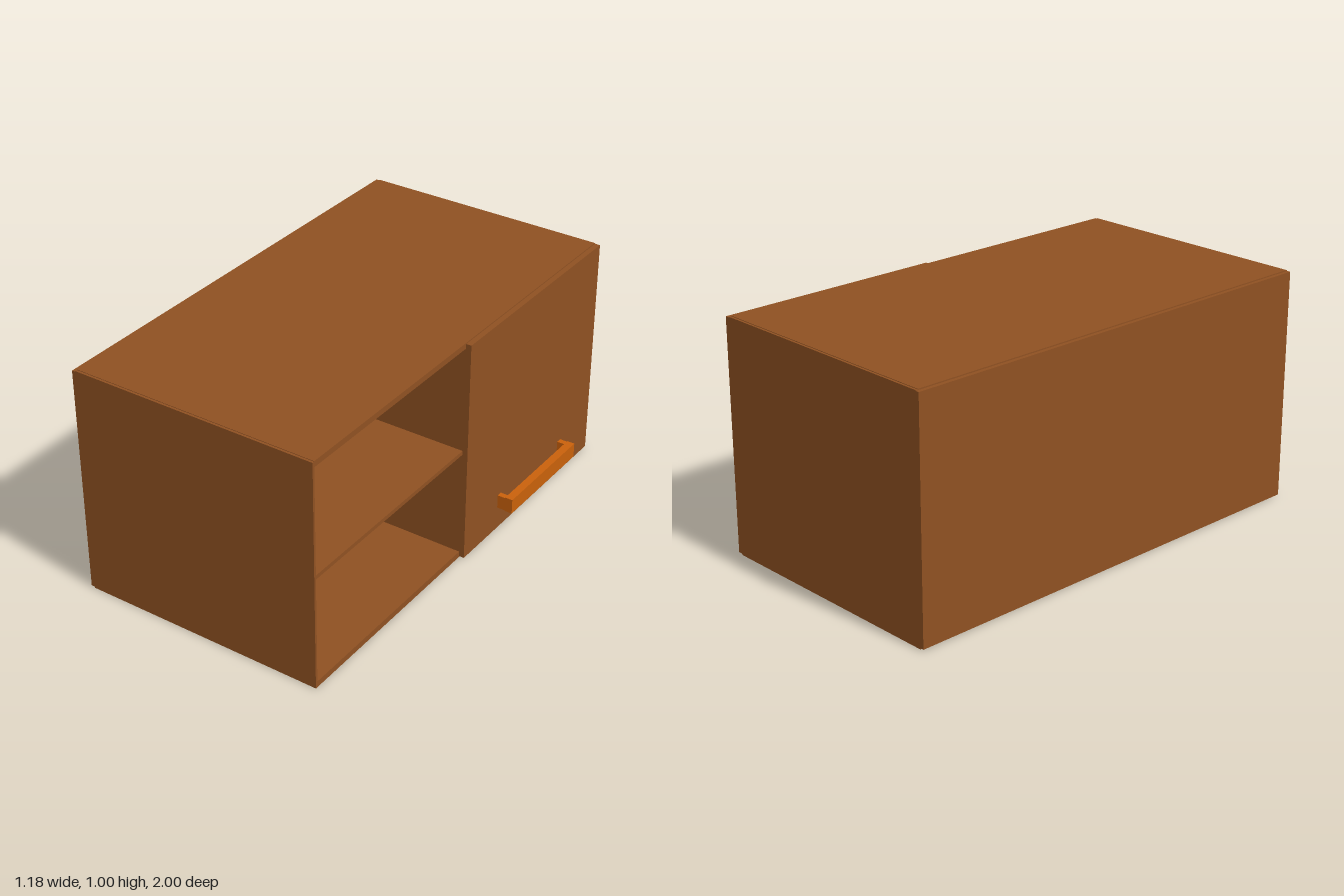
import * as THREE from 'three';

export function createModel() {
  const model = new THREE.Group();
  model.name = 'cabinet';
  const wood = new THREE.MeshStandardMaterial({ color: 0x8f5122 });
  wood.name = 'brown wood';
  const orange = new THREE.MeshStandardMaterial({ color: 0xc9610b });
  orange.name = 'orange handle';

  // Box given by its limits on each axis
  function panel(name, [x0, x1], [y0, y1], [z0, z1], material = wood, parent = model) {
    const mesh = new THREE.Mesh(new THREE.BoxGeometry(x1 - x0, y1 - y0, z1 - z0), material);
    mesh.position.set((x0 + x1) / 2, (y0 + y1) / 2, (z0 + z1) / 2);
    mesh.name = name;
    parent.add(mesh);
  }

  // Carcass
  const depth = [-0.577, 0.5];
  panel('bottomPanel', depth, [0, 0.027], [-0.99, 0.99]);
  panel('topPanel', depth, [0.975, 1], [-0.99, 0.99]);
  panel('frontEndPanel', depth, [0, 0.998], [0.99, 1]);
  panel('rearEndPanel', depth, [0, 0.998], [-1, -0.99]);
  panel('backPanel', [-0.593, -0.577], [0.005, 0.995], [-1, 1]);

  // Open shelves beside the closed compartment
  panel('divider', depth, [0.027, 0.975], [-0.01, 0.008]);
  panel('shelf', depth, [0.495, 0.513], [0.008, 0.99]);

  // Door and its bar handle
  panel('door', [0.5, 0.523], [0.005, 0.995], [-1, 0.008]);
  const handle = new THREE.Group();
  handle.name = 'handle';
  model.add(handle);
  panel('handleBar', [0.558, 0.592], [0.105, 0.171], [-0.76, -0.245], orange, handle);
  for (const z of [-0.76, -0.27]) {
    panel('handlePost', [0.523, 0.558], [0.108, 0.168], [z, z + 0.025], orange, handle);
  }
  return model;
}
